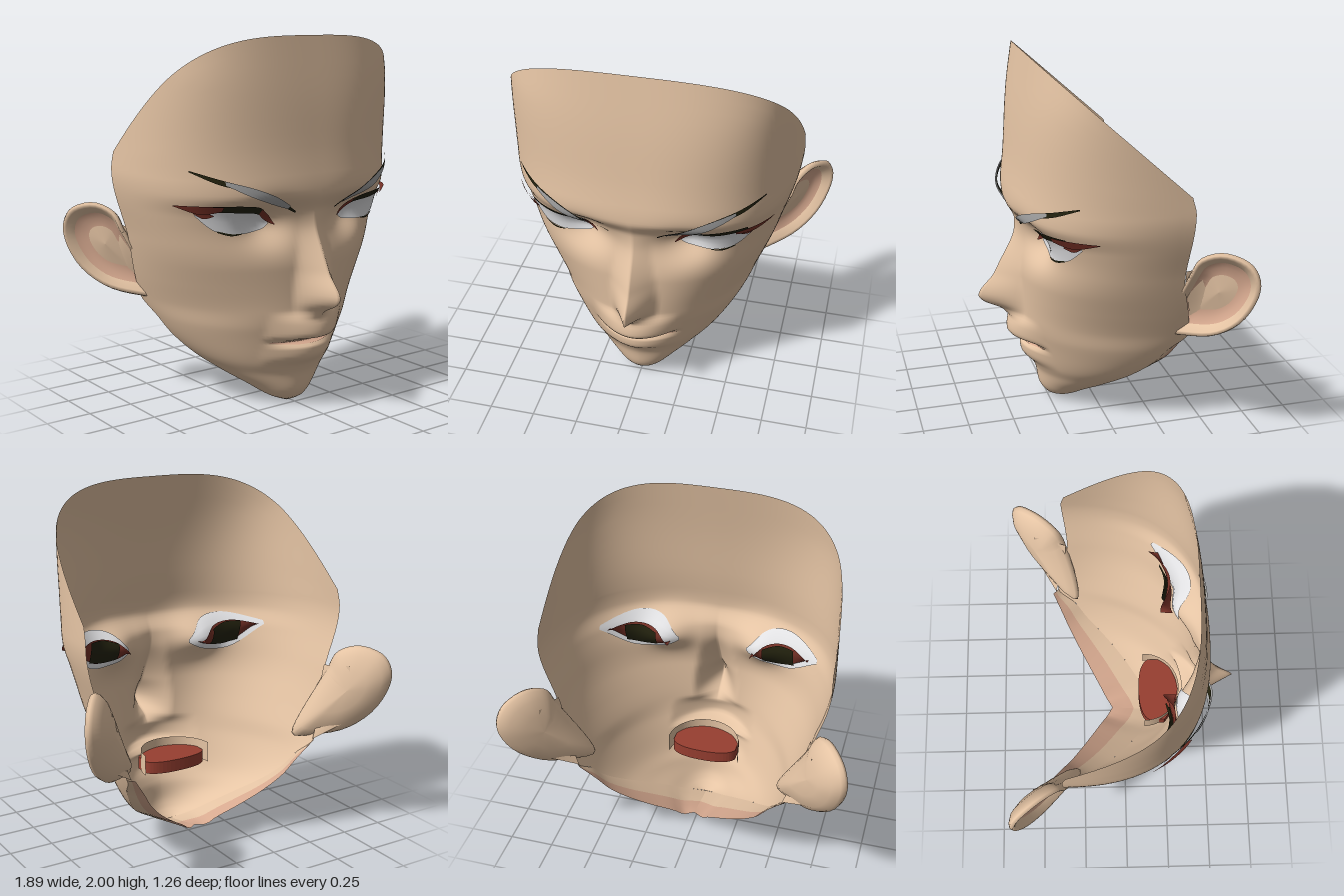
import * as THREE from 'three';

const mat = (name, color) => {
  const m = new THREE.MeshStandardMaterial({ color, side: THREE.DoubleSide });
  m.name = name;
  return m;
};

// Smooth lookup, without overshoot, in a table of [y, value]
function table(t) {
  const n = t.length - 1;
  const slope = t.slice(1).map((p, i) => (p[1] - t[i][1]) / (p[0] - t[i][0]));
  const tangent = t.map((p, i) => {
    if (i === 0) return slope[0];
    if (i === n) return slope[n - 1];
    const a = slope[i - 1], b = slope[i];
    return a * b <= 0 ? 0 : (2 * a * b) / (a + b);
  });
  return (y) => {
    if (y <= t[0][0]) return t[0][1];
    if (y >= t[n][0]) return t[n][1];
    const i = t.findIndex((p) => p[0] > y) - 1;
    const h = t[i + 1][0] - t[i][0], k = (y - t[i][0]) / h, q = 1 - k;
    return t[i][1] * (1 + 2 * k) * q * q + t[i + 1][1] * (3 - 2 * k) * k * k
      + h * k * q * (tangent[i] * q - tangent[i + 1] * k);
  };
}

// Face cross-sections by height: half width, front depth, back depth, roundness
const width = table([[0, 0.02], [0.03, 0.1], [0.1, 0.2], [0.17, 0.3], [0.27, 0.42], [0.37, 0.5], [0.46, 0.55],
  [0.57, 0.6], [0.93, 0.71], [1.29, 0.79], [1.4, 0.787], [1.66, 0.78], [2, 0.765]]);
const front = table([[0, 0.2], [0.03, 0.26], [0.09, 0.297], [0.18, 0.313], [0.25, 0.345], [0.4, 0.385], [0.57, 0.42],
  [0.8, 0.42], [1, 0.4], [1.09, 0.41], [1.2, 0.465], [1.4, 0.44], [1.67, 0.41], [2, 0.36]]);
const back = table([[0, 0.2], [0.03, 0.16], [0.1, 0.08], [0.17, 0], [0.27, -0.12], [0.37, -0.22], [0.46, -0.28],
  [0.57, -0.38], [0.7, -0.36], [0.95, -0.31], [1.3, -0.33], [1.39, -0.31]]);
const round = table([[0, 2], [0.2, 1.8], [0.57, 2], [1, 2.45], [1.3, 2.55], [1.8, 3.2]]);
const nose = table([[0.52, 0], [0.545, 0.05], [0.57, 0.09], [0.62, 0.185], [0.655, 0.21], [0.78, 0.12],
  [0.92, 0.06], [1.02, 0.025], [1.1, 0.01], [1.2, 0]]);
const noseWidth = table([[0.55, 0.13], [0.7, 0.13], [1, 0.09]]);
const lips = table([[0.24, 0], [0.3, 0.035], [0.355, 0.025], [0.385, -0.03], [0.4, 0.02], [0.425, 0.08], [0.5, 0.055], [0.56, 0]]);

// Depth of the face surface at any x, y
function faceZ(x, y) {
  x = Math.abs(x);
  const n = round(y), s = back(y);
  let z = s + (front(y) - s) * Math.pow(Math.max(0, 1 - Math.pow(Math.min(1, x / width(y)), n)), 1 / n);
  z += nose(y) * Math.pow(Math.max(0, 1 - x / noseWidth(y)), 1.25);
  if (x < 0.25) z += lips(y) * Math.cos((x / 0.25) * Math.PI / 2);
  z -= 0.085 * Math.exp(-(((x - 0.27) / 0.13) ** 2) - ((y - 1.04) / 0.1) ** 2);
  return z;
}

// Surface from a grid of points; point(i, j) returns [x, y, z]
function grid(ni, nj, point) {
  const pos = [], idx = [];
  for (let i = 0; i <= ni; i++) for (let j = 0; j <= nj; j++) pos.push(...point(i, j));
  for (let i = 0; i < ni; i++) {
    for (let j = 0; j < nj; j++) {
      const a = i * (nj + 1) + j, b = a + nj + 1;
      idx.push(a, a + 1, b, b, a + 1, b + 1);
    }
  }
  const g = new THREE.BufferGeometry();
  g.setAttribute('position', new THREE.Float32BufferAttribute(pos, 3));
  g.setIndex(idx);
  g.computeVertexNormals();
  return g;
}

const spline = (pts) => new THREE.SplineCurve(pts.map((p) => new THREE.Vector2(p[0], p[1])));

// Thin patch on the face between an upper and a lower line, listed from inside to outside
function patch(side, upper, lower, offTop, offBottom = offTop) {
  const u = spline(upper), l = spline(lower);
  return grid(4, 24, (i, j) => {
    const k = side > 0 ? 1 - i / 4 : i / 4;
    const p = u.getPoint(j / 24).lerp(l.getPoint(j / 24), k);
    return [side * p.x, p.y, faceZ(p.x, p.y) + offTop + (offBottom - offTop) * k];
  });
}

export function createModel() {
  const head = new THREE.Group();
  head.name = 'face';
  const skin = mat('skin', 0xe5c4a4);
  const pink = mat('pinkSkin', 0xd9ab91);
  const white = mat('eyeWhite', 0xe4e4e6);
  const dark = mat('darkHair', 0x24230f);
  const red = mat('lashRed', 0x7a3328);
  const mouthRed = mat('mouthRed', 0x983f31);
  const grey = mat('browGrey', 0xa6a6a6);
  const add = (name, geometry, material, parent = head) => {
    const m = new THREE.Mesh(geometry, material);
    m.name = name;
    parent.add(m);
    return m;
  };

  // Open face shell, cut off at the top by a sloping plane
  const low = 84, high = 10, cols = 88;
  add('faceShell', grid(low + high, cols, (i, j) => {
    const u = (j / cols) * 2 - 1;
    const sx = Math.sign(u) * Math.sin(Math.pow(Math.abs(u), 1.25) * Math.PI / 2);
    let y = (i / low) * 1.3;
    if (i > low) {
      let top = 1.7;
      for (let k = 0; k < 30; k++) top = 2 - 0.91 * (0.36 - faceZ(sx * width(top), top));
      y = 1.3 + (top - 1.3) * (i - low) / high;
    }
    const x = sx * width(y);
    return [x, y, faceZ(x, y)];
  }), skin);

  // Underside of the jaw, curling in to the neck edge
  const neckX = table([[0, 0], [0.03, 0.03], [0.1, 0.1], [0.17, 0.2], [0.27, 0.33], [0.37, 0.43], [0.46, 0.49], [0.57, 0.57]]);
  const jawStrip = (side, k0, k1) => grid(3, 24, (i, j) => {
    const y = (j / 24) * 0.57, k = k0 + (k1 - k0) * (side > 0 ? i : 3 - i) / 3;
    const ex = neckX(y), w = y === 0 ? 0 : width(y), s = back(y);
    return [side * (w + (ex - w) * k), y + (Math.max(y, 0.06) - y) * k, s + (-0.07 - 0.6 * ex - s) * k];
  });

  // Ear outline as [distance back from the root, height]
  const outline = spline([[0, 0.95], [0.05, 1.05], [0.17, 1.1], [0.3, 1.07], [0.36, 0.99], [0.355, 0.88],
    [0.28, 0.73], [0.16, 0.62], [0.02, 0.575], [-0.08, 0.575], [-0.07, 0.72], [0, 0.95]]);
  const earRings = (side, rings) => grid(rings.length - 1, 40, (i, j) => {
    const p = outline.getPoint(side > 0 ? 1 - j / 40 : j / 40), [scale, off] = rings[i];
    const s = 0.15 + (p.x - 0.15) * scale, y = 0.86 + (p.y - 0.86) * scale;
    const pull = Math.max(0, 1 - s / 0.37) * (0.72 - Math.min(0.72, width(y)));
    return [side * (0.72 + 0.59 * s + 0.81 * off - pull), y, -0.33 - 0.81 * s + 0.59 * off];
  });

  for (const side of [1, -1]) {
    const tag = side > 0 ? 'left' : 'right';
    add(tag + 'Jaw', jawStrip(side, 0, 0.5), skin);
    add(tag + 'JawUnderside', jawStrip(side, 0.5, 1), pink);

    // Ear: back and rim, the hollow, and the skin joining it to the head
    const ear = new THREE.Group();
    ear.name = tag + 'Ear';
    head.add(ear);
    add('earRim', earRings(side, [[0, -0.09], [0.45, -0.085], [0.8, -0.055], [0.96, -0.02], [1, 0], [0.96, 0.018], [0.88, 0.012], [0.74, -0.025]]), skin, ear);
    add('earHollow', earRings(side, [[0.74, -0.025], [0.6, -0.045], [0.42, -0.05]]), pink, ear);
    add('earCentre', earRings(side, [[0.42, -0.05], [0.2, -0.045], [0, -0.04]]), skin, ear);
    add('earRoot', grid(4, 10, (i, j) => {
      const k = (side > 0 ? i : 4 - i) / 4, y = 0.57 + 0.4 * j / 10;
      const x = width(y) - 0.02, z = back(y) - 0.01;
      return [side * (x + (0.74 - x) * k), y + (0.68 + 0.32 * j / 10 - y) * k, z + (-0.5 - z) * k];
    }), skin, ear);

    // Eye white and lash lines
    const eye = new THREE.Group();
    eye.name = tag + 'Eye';
    head.add(eye);
    add('eyeWhite', patch(side, [[0.235, 1.04], [0.3, 1.1], [0.4, 1.125], [0.52, 1.125], [0.615, 1.12]],
      [[0.235, 1.035], [0.28, 1.007], [0.42, 0.998], [0.53, 1.02], [0.615, 1.1]], 0.01), white, eye);
    add('upperLash', patch(side, [[0.27, 1.1], [0.34, 1.14], [0.45, 1.155], [0.58, 1.153]],
      [[0.27, 1.075], [0.34, 1.103], [0.45, 1.117], [0.58, 1.125]], 0.018), dark, eye);
    add('outerLash', patch(side, [[0.53, 1.156], [0.62, 1.157], [0.7, 1.155]],
      [[0.53, 1.13], [0.61, 1.112], [0.7, 1.15]], 0.04), red, eye);
    add('outerCorner', patch(side, [[0.55, 1.105], [0.59, 1.12], [0.64, 1.13]],
      [[0.55, 1.1], [0.59, 1.088], [0.64, 1.126]], 0.025), red, eye);
    add('innerLash', patch(side, [[0.21, 1.035], [0.25, 1.085], [0.31, 1.125]],
      [[0.21, 1.03], [0.25, 1.05], [0.31, 1.095]], 0.02), red, eye);
    add('lowerLash', patch(side, [[0.4, 1.002], [0.46, 1.004], [0.52, 1.02]],
      [[0.4, 0.998], [0.46, 0.993], [0.52, 1.012]], 0.016), dark, eye);

    // Inside of the eye, seen from behind the face
    add('innerEyeRing', patch(side, [[0.2, 1.04], [0.3, 1.14], [0.45, 1.17], [0.63, 1.13]],
      [[0.2, 1.02], [0.3, 0.975], [0.46, 0.975], [0.63, 1.11]], -0.012), white, eye);
    add('innerEyeRed', patch(side, [[0.24, 1.04], [0.32, 1.115], [0.45, 1.14], [0.58, 1.12]],
      [[0.24, 1.03], [0.32, 1.005], [0.45, 1.005], [0.58, 1.1]], -0.09, -0.022), red, eye);
    add('innerEyeDark', patch(side, [[0.31, 1.11], [0.4, 1.137], [0.49, 1.14]],
      [[0.31, 1.01], [0.4, 1.0], [0.49, 1.02]], -0.115, -0.032), dark, eye);

    // Eyebrow: dark line with a grey middle
    const brow = new THREE.Group();
    brow.name = tag + 'Eyebrow';
    head.add(brow);
    add('browLine', patch(side, [[0.13, 1.105], [0.25, 1.178], [0.4, 1.245], [0.55, 1.295], [0.66, 1.337]],
      [[0.13, 1.095], [0.25, 1.155], [0.4, 1.225], [0.55, 1.268], [0.66, 1.33]], 0.025), dark, brow);
    add('browMiddle', patch(side, [[0.18, 1.14], [0.3, 1.206], [0.42, 1.254], [0.53, 1.286]],
      [[0.18, 1.12], [0.3, 1.16], [0.42, 1.208], [0.53, 1.268]], 0.032), grey, brow);

    // Half of the lower lip
    add(tag + 'Lip', patch(side, [[0, 0.391], [0.1, 0.391], [0.22, 0.389]],
      [[0, 0.368], [0.1, 0.37], [0.22, 0.382]], 0.008), pink);
  }

  // Mouth cavity behind the lips
  const plan = new THREE.Shape();
  plan.moveTo(-0.19, 0.15);
  plan.quadraticCurveTo(-0.16, 0.09, 0, 0.09);
  plan.quadraticCurveTo(0.16, 0.09, 0.19, 0.15);
  plan.lineTo(0.19, 0.24);
  plan.quadraticCurveTo(0.1, 0.32, 0, 0.325);
  plan.quadraticCurveTo(-0.1, 0.32, -0.19, 0.24);
  const cavity = new THREE.ExtrudeGeometry(plan, { depth: 0.07, bevelEnabled: false, curveSegments: 10 });
  cavity.rotateX(Math.PI / 2);
  add('mouthInside', cavity, mouthRed).position.y = 0.41;
  const wall = new THREE.CylinderGeometry(0.21, 0.21, 0.12, 24, 1, true, -Math.PI / 2, Math.PI);
  add('mouthWall', wall, skin).position.set(0, 0.4, 0.12);

  return head;
}
